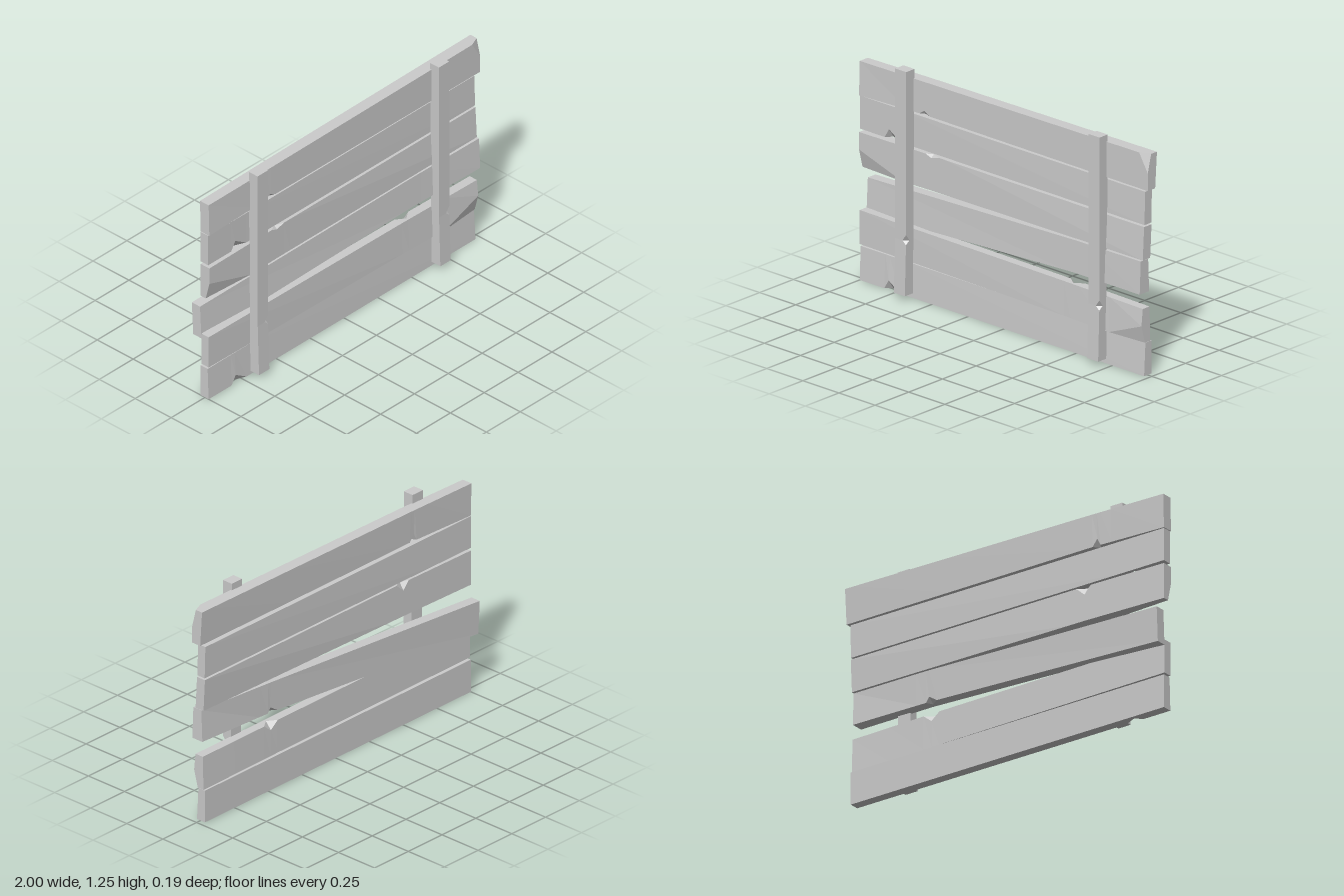
import * as THREE from 'three';

const material = new THREE.MeshStandardMaterial({ color: 0xcccccc, flatShading: true });

// Inward directions of the corners: front-bottom, back-bottom, back-top, front-top
const SY = [1, 1, -1, -1];
const SZ = [-1, 1, 1, -1];

// Station: [x, yBottom, yTop, zBack and zFront at bottom, zBack and zFront at top]
function stationAt(stations, x) {
  let i = 0;
  while (i < stations.length - 2 && x > stations[i + 1][0]) i++;
  const a = stations[i], b = stations[i + 1];
  const t = (x - a[0]) / (b[0] - a[0]);
  return a.map((v, k) => v + (b[k] - v) * t);
}

// Cross-section with each corner doubled, so that a chip can split it
function sectionAt(stations, chips, x) {
  const [, y0, y1, zb0, zf0, zb1, zf1] = stationAt(stations, x);
  const corners = [[y0, zf0], [y0, zb0], [y1, zb1], [y1, zf1]];
  return corners.flatMap(([y, z], c) => {
    const chip = chips.find((k) => k.corner === c && k.x === x);
    const alongY = new THREE.Vector3(x, y + (chip ? SY[c] * chip.dy : 0), z);
    const alongZ = new THREE.Vector3(x, y, z + (chip ? SZ[c] * chip.dz : 0));
    return c % 2 === 0 ? [alongY, alongZ] : [alongZ, alongY];
  });
}

// Hewn timber along x, with chips cut out of its long edges
function timber(name, stations, chips = []) {
  const start = stations[0][0], end = stations[stations.length - 1][0];
  const xs = new Set(stations.map((s) => s[0]));
  for (const k of chips) {
    for (const x of [k.x - k.before, k.x, k.x + k.after]) {
      xs.add(Math.min(end, Math.max(start, x)));
    }
  }
  const rings = [...xs].sort((a, b) => a - b).map((x) => sectionAt(stations, chips, x));
  const positions = [];
  const tri = (a, b, c) => {
    const area = b.clone().sub(a).cross(c.clone().sub(a)).length();
    if (area > 1e-8) positions.push(...a.toArray(), ...b.toArray(), ...c.toArray());
  };
  for (let i = 0; i < rings.length - 1; i++) {
    for (let j = 0; j < 8; j++) {
      const n = (j + 1) % 8;
      tri(rings[i][j], rings[i][n], rings[i + 1][n]);
      tri(rings[i][j], rings[i + 1][n], rings[i + 1][j]);
    }
  }
  const first = rings[0], last = rings[rings.length - 1];
  for (let j = 1; j < 7; j++) {
    tri(first[0], first[j + 1], first[j]);
    tri(last[0], last[j], last[j + 1]);
  }
  const geometry = new THREE.BufferGeometry();
  geometry.setAttribute('position', new THREE.Float32BufferAttribute(positions, 3));
  geometry.computeVertexNormals();
  const mesh = new THREE.Mesh(geometry, material);
  mesh.name = name;
  return mesh;
}

const chip = (corner, x, before, after, dy, dz) => ({ corner, x, before, after, dy, dz });

export function createModel() {
  const group = new THREE.Group();
  group.name = 'plankFence';

  // Planks, from the bottom up
  group.add(
    timber('plank1', [
      [-1, 0.005, 0.188, -0.03, 0.025, -0.03, 0.018],
      [0.97, 0.005, 0.185, -0.03, 0.025, -0.03, 0.015],
    ], [chip(0, -0.8, 0.03, 0.08, 0.05, 0.035)]),
    timber('plank2', [
      [-1, 0.2, 0.385, -0.025, 0.025, -0.025, 0.025],
      [0.42, 0.192, 0.378, -0.02, 0.035, -0.02, 0.03],
      [0.97, 0.186, 0.373, -0.02, 0.045, -0.015, 0.035],
    ], [chip(0, 0.97, 0.23, 0, 0.095, 0.025), chip(2, 0.47, 0.06, 0.05, 0.04, 0.035)]),
    timber('slantedPlank', [
      [-1, 0.355, 0.545, -0.082, -0.025, -0.092, -0.035],
      [0.5, 0.445, 0.62, -0.025, 0.035, -0.03, 0.03],
      [0.97, 0.457, 0.635, -0.012, 0.058, -0.005, 0.05],
    ], [chip(1, 0.48, 0.05, 0.08, 0.03, 0.035)]),
    timber('plank4', [
      [-1, 0.615, 0.81, -0.03, 0.03, -0.03, 0.03],
      [-0.5, 0.625, 0.816, -0.03, 0.03, -0.03, 0.03],
      [0.97, 0.636, 0.815, -0.02, 0.035, -0.03, 0.025],
    ], [chip(0, -1, 0, 0.3, 0.1, 0.025), chip(2, -0.5, 0.04, 0.05, 0.045, 0.03),
      chip(3, -0.5, 0.2, 0.1, 0.015, 0.02)]),
    timber('plank5', [
      [-1, 0.826, 1.006, -0.03, 0.022, -0.03, 0.022],
      [0.97, 0.825, 1.005, -0.028, 0.022, -0.033, 0.018],
    ], [chip(0, -0.8, 0.03, 0.08, 0.05, 0.035)]),
    timber('plank6', [
      [-1, 1.01, 1.195, -0.03, 0.03, -0.035, 0.025],
      [-0.55, 1.024, 1.202, -0.028, 0.03, -0.035, 0.03],
      [1, 1.02, 1.215, -0.025, 0.03, -0.038, 0.03],
    ], [chip(3, 1, 0.06, 0, 0.1, 0.025), chip(1, -0.58, 0.09, 0.07, 0.04, 0.035),
      chip(0, -0.55, 0.05, 0.9, 0.02, 0.015)]),
  );

  // Upright posts, lofted along x and then stood up
  for (const [name, x] of [['rightPost', -0.662], ['leftPost', 0.677]]) {
    const post = timber(name, [
      [0.035, -0.038, 0.038, 0.033, 0.093, 0.033, 0.093],
      [0.33, -0.038, 0.038, 0.03, 0.084, 0.03, 0.084],
      [1.25, -0.038, 0.038, 0.022, 0.083, 0.022, 0.083],
    ], [chip(0, 0.33, 0.02, 0.035, 0.025, 0.025)]);
    post.rotation.z = Math.PI / 2;
    post.position.x = x;
    group.add(post);
  }
  return group;
}
